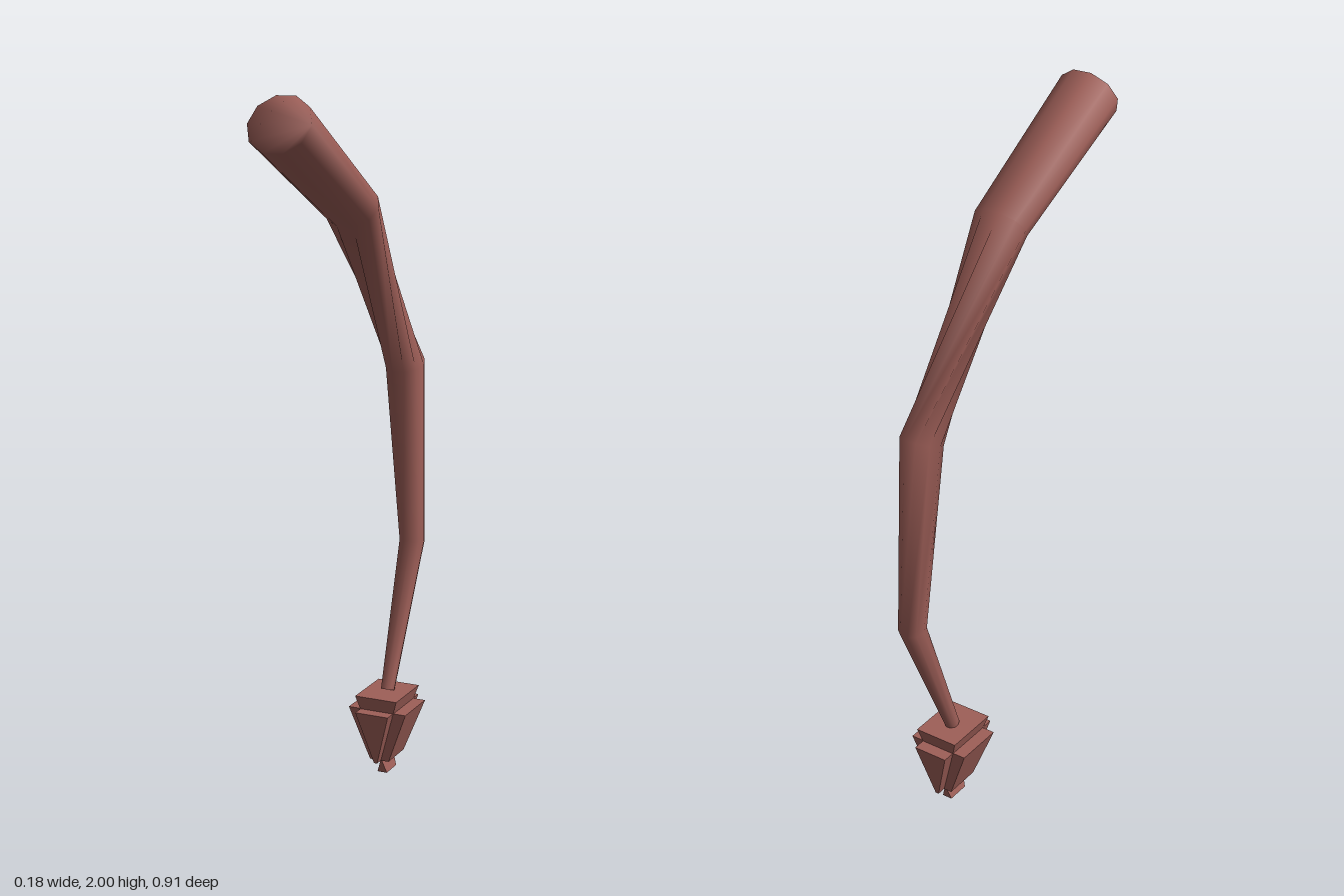
import * as THREE from 'three';

const SIDES = 10;

// Smooth tube through tilted rings: [topY, topZ, bottomY, bottomZ, halfWidth, twistSteps]
function ringTube(rings) {
  const pos = [], index = [];
  for (const [ty, tz, by, bz, w, twist] of rings) {
    for (let i = 0; i < SIDES; i++) {
      const a = ((i - twist) / SIDES) * Math.PI * 2, s = Math.sin(a) / 2;
      pos.push(w * Math.cos(a), (ty + by) / 2 + s * (ty - by), (tz + bz) / 2 + s * (tz - bz));
    }
  }
  for (let r = 0; r < rings.length - 1; r++) {
    for (let i = 0; i < SIDES; i++) {
      const a = r * SIDES + i, b = r * SIDES + ((i + 1) % SIDES);
      const c = a + SIDES, d = b + SIDES;
      index.push(a, c, b, b, c, d);
    }
  }
  // flat end caps sharing the ring vertices, so shading rolls over the rim
  const last = (rings.length - 1) * SIDES;
  for (let i = 1; i < SIDES - 1; i++) {
    index.push(0, i, i + 1, last, last + i + 1, last + i);
  }
  const g = new THREE.BufferGeometry();
  g.setAttribute('position', new THREE.Float32BufferAttribute(pos, 3));
  g.setIndex(index);
  g.computeVertexNormals();
  return g;
}

// Box whose top and bottom have their own half sizes in x and z
function taperedBox(topY, topX, topZ, bottomY, bottomX, bottomZ) {
  const g = new THREE.BoxGeometry(2, 1, 2).toNonIndexed();
  const p = g.attributes.position;
  for (let i = 0; i < p.count; i++) {
    const up = p.getY(i) > 0;
    p.setXYZ(i, p.getX(i) * (up ? topX : bottomX), up ? topY : bottomY, p.getZ(i) * (up ? topZ : bottomZ));
  }
  g.computeVertexNormals();
  return g;
}

export function createModel() {
  const model = new THREE.Group();
  model.name = 'tail';
  const skin = new THREE.MeshStandardMaterial({ color: 0x9e5f58 });
  skin.name = 'dusty red';

  function add(name, geometry, parent) {
    const mesh = new THREE.Mesh(geometry, skin);
    mesh.name = name;
    parent.add(mesh);
  }

  // Bent shaft, twisted between the second and third rings
  add('shaft', ringTube([
    [2.0, 0.38, 1.855, 0.46, 0.09, 0],
    [1.74, -0.045, 1.64, 0.05, 0.078, 0],
    [1.23, -0.41, 1.19, -0.305, 0.059, 2],
    [0.66, -0.457, 0.67, -0.377, 0.038, 2],
    [0.24, -0.265, 0.255, -0.222, 0.02, 2],
  ]), model);

  // Wedge-shaped tip made of crossing tapered blocks
  const tip = new THREE.Group();
  tip.name = 'tip';
  tip.position.z = -0.24;
  model.add(tip);
  add('tipCore', taperedBox(0.245, 0.066, 0.083, 0.045, 0.0005, 0.043), tip);
  add('tipPoint', taperedBox(0.045, 0.0005, 0.043, 0, 0.015, 0.034), tip);
  add('tipSidePlates', taperedBox(0.205, 0.091, 0.073, 0.045, 0.03, 0.055), tip);
  add('tipEndPlates', taperedBox(0.205, 0.052, 0.112, 0.045, 0.005, 0.082), tip);

  return model;
}
